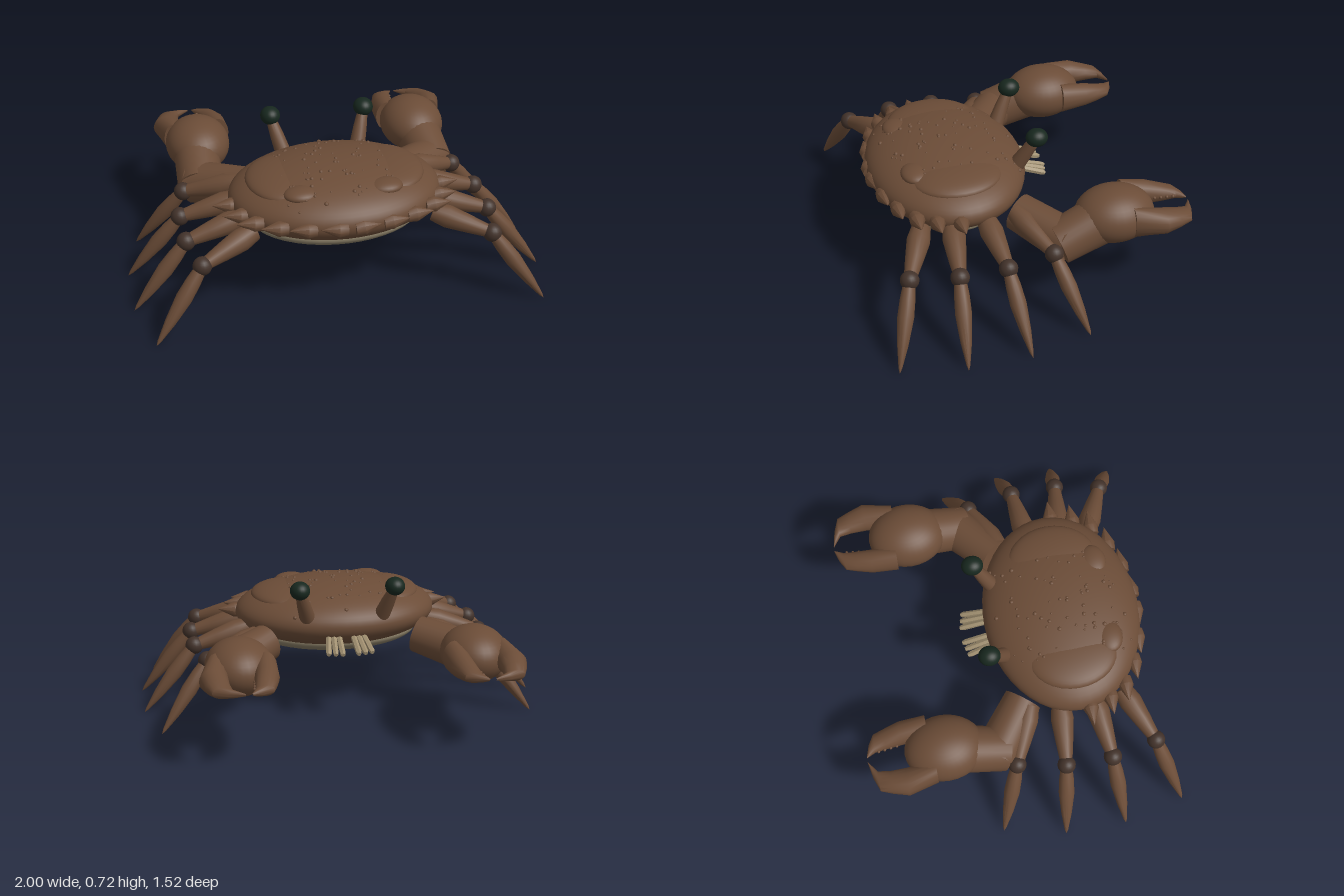
import * as THREE from 'three';
import { mergeGeometries, toCreasedNormals } from 'three/addons/utils/BufferGeometryUtils.js';

const mat = (name, color) => {
  const m = new THREE.MeshStandardMaterial({ color });
  m.name = name;
  return m;
};
const V = (x, y, z) => new THREE.Vector3(x, y, z);

export function createModel() {
  const brown = mat('shellBrown', 0x6b4c37);
  const dark = mat('jointBrown', 0x42322a);
  const cream = mat('bellyCream', 0x857a63);
  const tan = mat('mouthTan', 0xa08f70);
  const black = mat('eyeGreenBlack', 0x17271e);

  const crab = new THREE.Group();
  crab.name = 'crab';
  const add = (name, geo, material) => {
    const m = new THREE.Mesh(geo, material);
    m.name = name;
    crab.add(m);
    return m;
  };
  const blob = (name, c, r, material, seg = 24) => {
    const m = add(name, new THREE.SphereGeometry(1, seg, Math.ceil(seg * 0.67)), material);
    m.position.set(...c);
    m.scale.set(...r);
  };
  // Round limb between two points; profile holds [fraction along, radius]
  const limb = (name, a, b, profile, material, seg = 16) => {
    const d = b.clone().sub(a), len = d.length();
    const pts = [[0, 0], ...profile, [1, 0]].map(([t, r]) => new THREE.Vector2(r, t * len));
    const m = add(name, toCreasedNormals(new THREE.LatheGeometry(pts, seg), 0.7), material);
    m.position.copy(a);
    m.quaternion.setFromUnitVectors(V(0, 1, 0), d.normalize());
  };
  // Finger skinned over oval sections [x, y, z, rx, ry], running towards -z
  const finger = (name, s, sections) => {
    const n = 16, pos = [], idx = [];
    sections.forEach(([x, y, z, rx, ry]) => {
      for (let j = 0; j < n; j++) {
        const a = (j * Math.PI * 2) / n;
        pos.push(s * (x + rx * Math.cos(a)), y + ry * Math.sin(a), z);
      }
    });
    for (let i = 0; i < sections.length - 1; i++) {
      for (let j = 0; j < n; j++) {
        const a = i * n + j, b = i * n + ((j + 1) % n), c = a + n, d = b + n;
        // The mirrored side needs the opposite winding
        if (s > 0) idx.push(a, c, b, b, c, d);
        else idx.push(a, b, c, b, d, c);
      }
    }
    const g = new THREE.BufferGeometry();
    g.setAttribute('position', new THREE.Float32BufferAttribute(pos, 3));
    g.setIndex(idx);
    add(name, toCreasedNormals(g, 0.7), brown);
  };

  // Body
  const C = [0, 0.46, 0.297], R = [0.512, 0.16, 0.385];
  blob('shell', C, R, brown, 48);
  blob('belly', [0, 0.352, 0.305], [0.42, 0.083, 0.295], cream, 40);

  // Small warts scattered over the shell
  let seed = 7;
  const rnd = () => (seed = (seed * 16807) % 2147483647) / 2147483647;
  const warts = [];
  for (let i = 0; i < 80; i++) {
    const x = (rnd() - 0.5) * 0.54, z = -0.03 + rnd() * 0.63, r = 0.005 + rnd() * 0.007;
    const k = 1 - (x / R[0]) ** 2 - ((z - C[2]) / R[2]) ** 2;
    const g = new THREE.SphereGeometry(r, 8, 6);
    g.translate(x, C[1] + R[1] * Math.sqrt(Math.max(k, 0)) - r * 0.3, z);
    warts.push(g);
  }
  add('shellWarts', mergeGeometries(warts), brown);

  const spikes = [[0.07, 0.665], [0.21, 0.643], [0.335, 0.6], [0.44, 0.535], [0.49, 0.45], [0.525, 0.345]];
  const legs = [ // hip, knee, foot
    [V(0.43, 0.41, 0.06), V(0.69, 0.33, -0.05), V(0.93, 0, -0.16)],
    [V(0.45, 0.41, 0.21), V(0.735, 0.33, 0.185), V(1, 0, 0.145)],
    [V(0.45, 0.41, 0.375), V(0.735, 0.33, 0.415), V(1, 0, 0.45)],
    [V(0.43, 0.41, 0.52), V(0.69, 0.33, 0.64), V(0.93, 0, 0.755)],
  ];

  for (const s of [1, -1]) {
    const side = s > 0 ? 'left' : 'right';
    const P = (x, y, z) => V(s * x, y, z);
    const flip = (p) => P(p.x, p.y, p.z);

    // Raised lobes on the shell
    blob(side + 'LargeLobe', [s * 0.24, 0.545, 0.3], [0.19, 0.055, 0.225], brown, 32);
    blob(side + 'SmallLobe', [s * 0.2, 0.562, 0.49], [0.085, 0.034, 0.068], brown);

    // Rim spikes pointing sideways
    spikes.forEach(([x, z], i) => limb(side + 'RimSpike' + (i + 1),
      P(x - 0.055, 0.453, z), P(x + 0.075, 0.464, z),
      [[0.03, 0.034], [0.35, 0.038]], brown, 10));

    // Eyes
    limb(side + 'EyeStalk', P(0.185, 0.5, -0.015), P(0.235, 0.67, -0.1),
      [[0, 0.04], [0.5, 0.034], [1, 0.024]], brown);
    blob(side + 'Eye', [s * 0.235, 0.677, -0.103], [0.049, 0.045, 0.054], black);

    // Mouth feelers
    for (let i = 0; i < 3; i++) {
      limb(side + 'Feeler' + (i + 1), P(0.035 + i * 0.025, 0.42, -0.04),
        P(0.04 + i * 0.034, 0.37, -0.205 + i * 0.008),
        [[0, 0.015], [0.9, 0.015], [1, 0.01]], tan, 6);
    }

    // Walking legs
    legs.forEach(([hip, knee, foot], i) => {
      const n = side + 'Leg' + (i + 1);
      limb(n + 'Upper', flip(hip), flip(knee),
        [[0, 0.046], [0.25, 0.056], [0.6, 0.044], [1, 0.028]], brown);
      blob(n + 'Knee', flip(knee).toArray(), [0.045, 0.045, 0.045], dark, 18);
      limb(n + 'Lower', flip(knee), flip(foot),
        [[0, 0.027], [0.2, 0.036], [0.4, 0.039], [0.7, 0.026], [0.94, 0.009]], brown);
    });

    // Claw arm
    limb(side + 'ArmInner', P(0.385, 0.375, 0.035), P(0.622, 0.322, -0.15),
      [[0, 0.093], [1, 0.108]], brown, 24);
    limb(side + 'ArmOuter', P(0.6, 0.317, -0.095), P(0.575, 0.41, -0.36),
      [[0, 0.108], [1, 0.12]], brown, 24);
    blob(side + 'Palm', [s * 0.567, 0.412, -0.385], [0.162, 0.134, 0.195], brown, 32);

    // Claw fingers
    finger(side + 'OuterFinger', s, [
      [0.68, 0.422, -0.44, 0.001, 0.001], [0.68, 0.422, -0.44, 0.05, 0.08],
      [0.702, 0.418, -0.585, 0.068, 0.06], [0.69, 0.412, -0.66, 0.057, 0.043],
      [0.673, 0.41, -0.72, 0.05, 0.027], [0.622, 0.41, -0.745, 0.033, 0.016],
      [0.572, 0.41, -0.76, 0.004, 0.004]]);
    finger(side + 'InnerFinger', s, [
      [0.45, 0.422, -0.455, 0.001, 0.001], [0.45, 0.422, -0.455, 0.055, 0.08],
      [0.458, 0.418, -0.585, 0.058, 0.06], [0.472, 0.412, -0.66, 0.051, 0.043],
      [0.484, 0.41, -0.715, 0.046, 0.027], [0.515, 0.41, -0.743, 0.028, 0.016],
      [0.546, 0.41, -0.76, 0.004, 0.004]]);
    for (let i = 0; i < 4; i++) {
      blob(side + 'ClawTooth' + (i + 1), [s * (0.516 + i * 0.004), 0.413, -0.61 - i * 0.03],
        [0.009, 0.009, 0.008], brown, 8);
    }
  }
  return crab;
}
